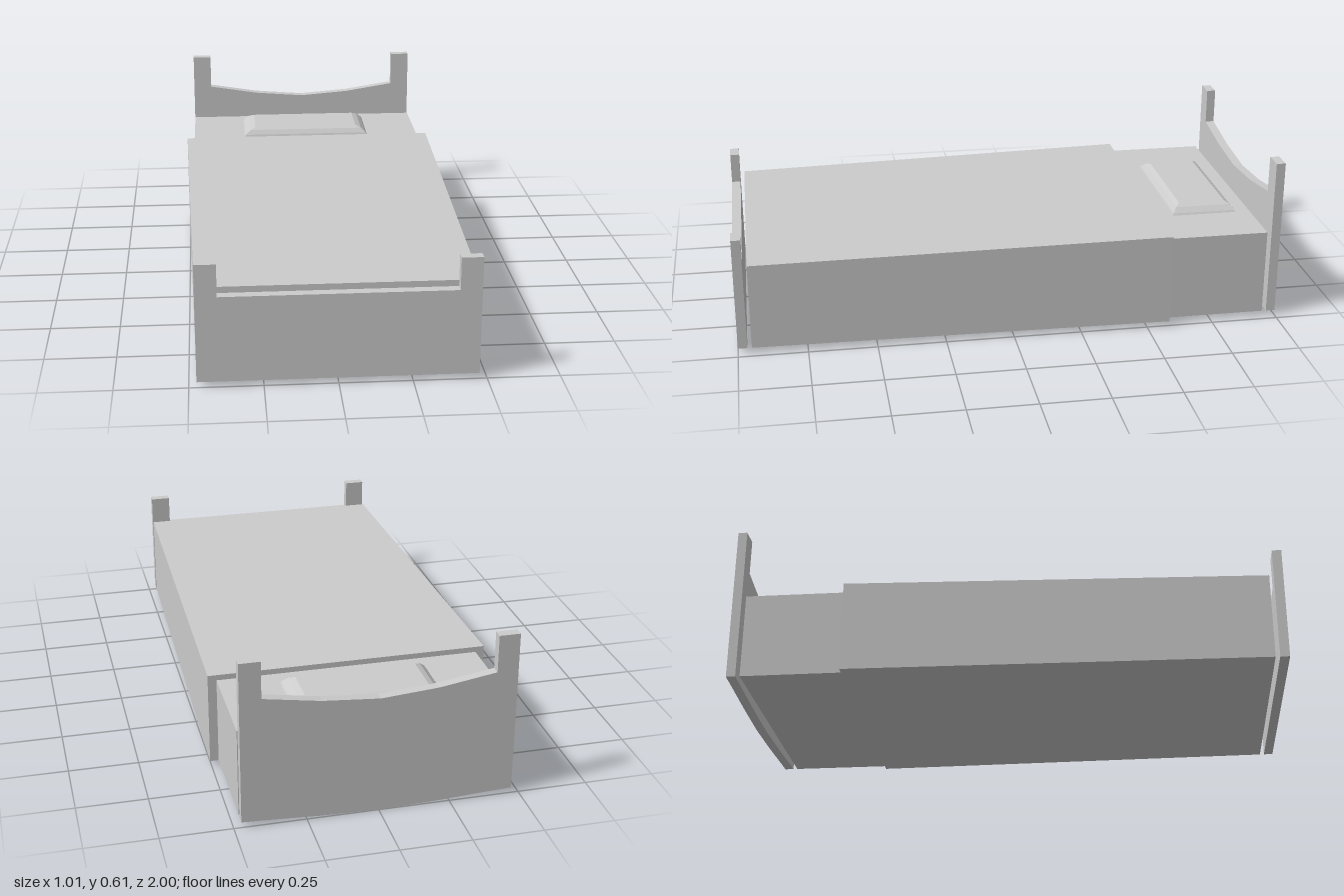
import * as THREE from 'three';

const material = new THREE.MeshStandardMaterial({ color: 0xcccccc, flatShading: true });

function part(name, geometry) {
  const mesh = new THREE.Mesh(geometry, material);
  mesh.name = name;
  return mesh;
}

// Closed solid through four-cornered sections, counter-clockwise seen from the last one
function loft(sections) {
  const index = [];
  sections.slice(1).forEach((_, s) => {
    for (let i = 0; i < 4; i++) {
      const a = s * 4 + i, b = s * 4 + (i + 1) % 4;
      index.push(a, b, b + 4, a, b + 4, a + 4);
    }
  });
  const e = (sections.length - 1) * 4;
  index.push(0, 2, 1, 0, 3, 2, e, e + 1, e + 2, e, e + 2, e + 3);
  const indexed = new THREE.BufferGeometry();
  indexed.setAttribute('position', new THREE.Float32BufferAttribute(sections.flat(2), 3));
  indexed.setIndex(index);
  const geometry = indexed.toNonIndexed();
  geometry.computeVertexNormals();
  return geometry;
}

// Symmetric board: half outline from the top centre round to the bottom centre
function board(name, half, z) {
  const mirrored = half.filter(([x]) => x > 0).reverse().map(([x, y]) => [-x, y]);
  const shape = new THREE.Shape([...half, ...mirrored].map(([x, y]) => new THREE.Vector2(x, y)));
  const geometry = new THREE.ExtrudeGeometry(shape, { depth: 0.034, bevelEnabled: false });
  return part(name, geometry.translate(0, 0, z));
}

export function createModel() {
  const bed = new THREE.Group();
  bed.name = 'bed';

  // Head and foot boards with raised corner posts
  bed.add(board('headboard', [
    [0, 0.427], [0.2, 0.443], [0.4, 0.475], [0.4, 0.609], [0.474, 0.609],
    [0.474, 0.02], [0.4, 0.017], [0.2, 0.006], [0, 0],
  ], -1));
  bed.add(board('footboard', [
    [0, 0.325], [0.4, 0.325], [0.4, 0.44], [0.474, 0.44], [0.474, 0.02], [0, 0.02],
  ], 0.966));

  // Exposed mattress at the head end
  const mattress = part('mattress', new THREE.BoxGeometry(0.948, 0.32, 0.367));
  mattress.position.set(0, 0.18, -0.7665);
  bed.add(mattress);

  // Blanket, wider and higher towards the head
  const blanketSection = (w, top, z) => [[-w, 0.02, z], [w, 0.02, z], [w, top, z], [-w, top, z]];
  bed.add(part('blanket', loft([
    blanketSection(0.505, 0.36, -0.583),
    blanketSection(0.474, 0.34, 0.95),
  ])));

  // Pillow with rounded-off edges
  const pillowSection = ([w, d, y]) => [[-w, y, d], [w, y, d], [w, y, -d], [-w, y, -d]];
  const pillow = part('pillow', loft([
    [0.262, 0.122, 0.34], [0.257, 0.119, 0.347], [0.237, 0.105, 0.364], [0.215, 0.088, 0.373],
  ].map(pillowSection)));
  pillow.position.z = -0.772;
  bed.add(pillow);

  return bed;
}
